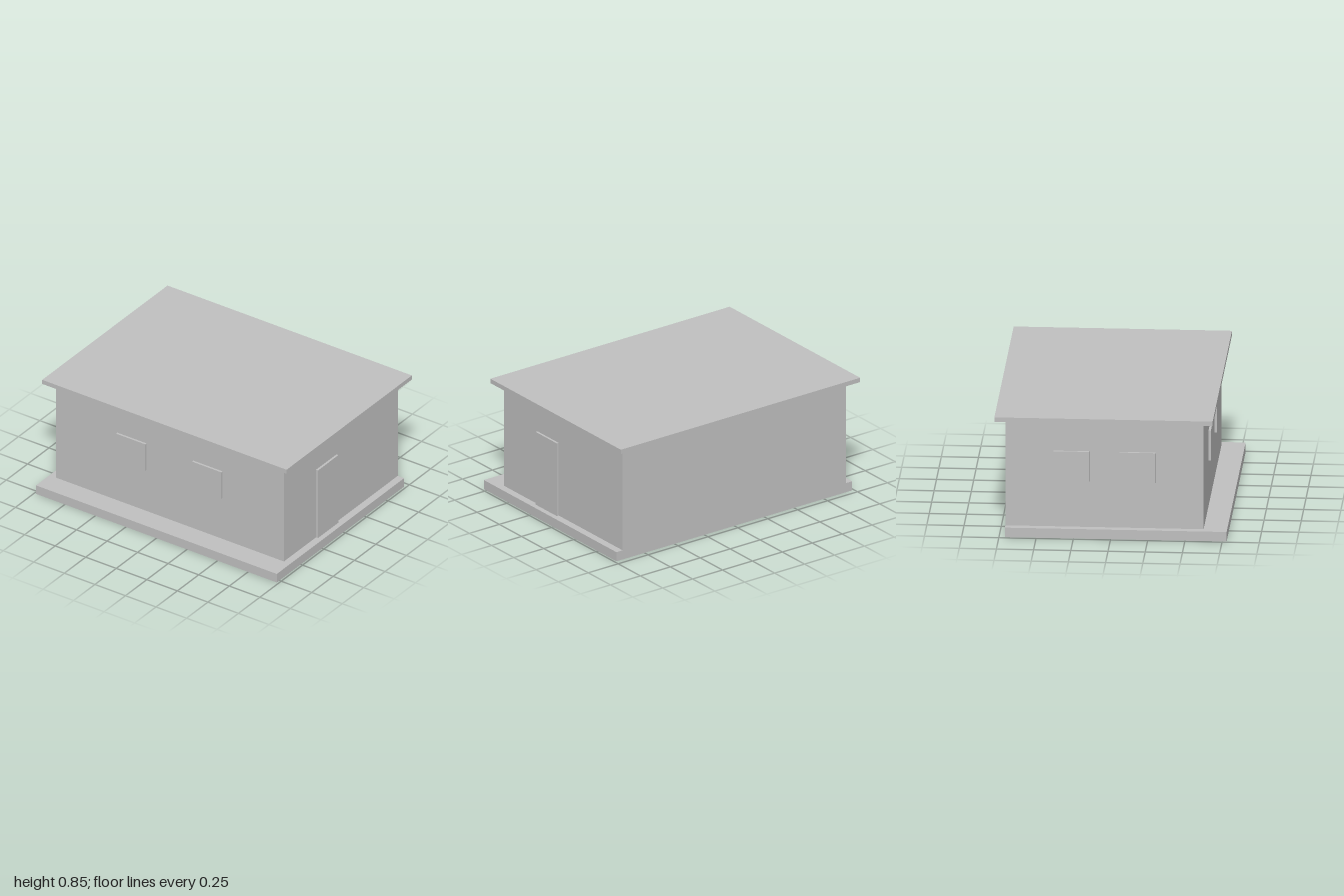
import * as THREE from 'three';

export function createModel() {
  const model = new THREE.Group();
  model.name = 'house';
  const concrete = new THREE.MeshStandardMaterial({ color: 0xbfbfbf });
  concrete.name = 'lightGrey';

  // Box given by its [min, max] extent along each axis
  function block(name, [x0, x1], [y0, y1], [z0, z1]) {
    const geometry = new THREE.BoxGeometry(x1 - x0, y1 - y0, z1 - z0);
    const mesh = new THREE.Mesh(geometry, concrete);
    mesh.name = name;
    mesh.position.set((x0 + x1) / 2, (y0 + y1) / 2, (z0 + z1) / 2);
    model.add(mesh);
  }

  const floorY = 0.067, eavesY = 0.815;
  const wallX = 0.933, wallBack = -0.71, wallFront = 0.622;
  const plate = 0.016; // how far the door and windows stand out

  // Main masses: the plinth is flush with the wall at the back
  block('plinth', [-0.985, 0.985], [0, floorY], [wallBack, 0.78]);
  block('walls', [-wallX, wallX], [floorY, eavesY], [wallBack, wallFront]);
  block('roofSlab', [-1, 1], [eavesY, 0.847], [-0.78, 0.687]);

  // Two windows on the front and two on the right-hand side
  const windowY = [0.39, 0.6], half = 0.12;
  const midZ = (wallBack + wallFront) / 2;
  for (const side of [-1, 1]) {
    const x = side * 0.311, z = midZ + side * 0.222;
    block('frontWindow', [x - half, x + half], windowY, [wallFront, wallFront + plate]);
    block('sideWindow', [-wallX - plate, -wallX], windowY, [z - half, z + half]);
  }

  // Door on the left-hand side
  block('door', [wallX, wallX + plate], [floorY, 0.6], [0.008, 0.246]);

  return model;
}
